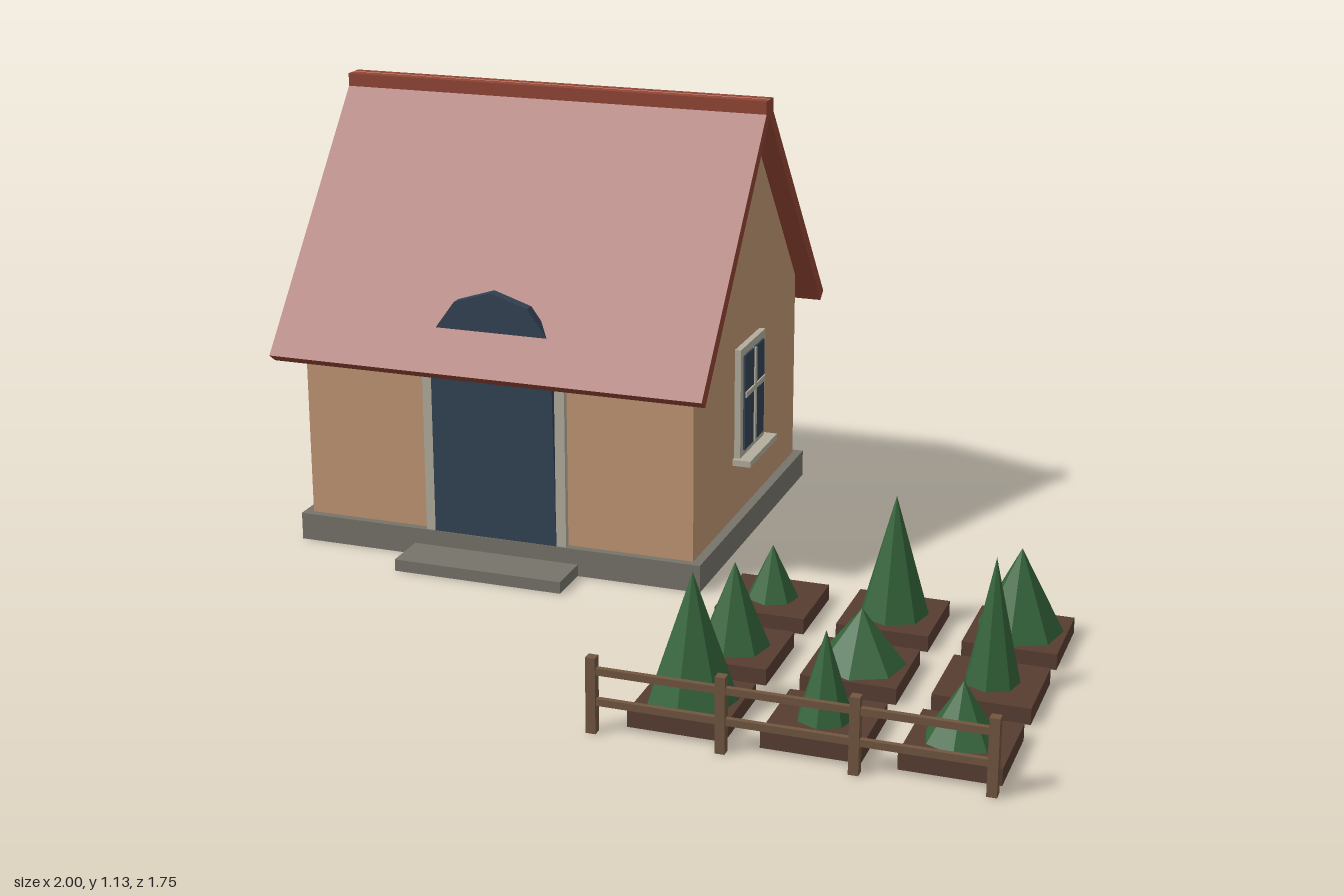
import * as THREE from 'three';

const mat = (name, color) => {
  const m = new THREE.MeshStandardMaterial({ color, flatShading: true });
  m.name = name;
  return m;
};

export function createModel() {
  const M = {
    wall: mat('plaster', 0xbf9674),
    roof: mat('roofTile', 0x914433),
    stone: mat('stone', 0x76736a),
    dark: mat('darkBlue', 0x324254),
    trim: mat('paleTrim', 0xb3ad9d),
    soil: mat('soil', 0x573d31),
    leaf: mat('foliage', 0x34643a),
    wood: mat('wood', 0x705640),
  };
  const model = new THREE.Group();
  model.name = 'cottageWithGarden';

  const add = (parent, name, geometry, material, x = 0, y = 0, z = 0) => {
    const mesh = new THREE.Mesh(geometry, material);
    mesh.name = name;
    mesh.position.set(x, y, z);
    parent.add(mesh);
    return mesh;
  };
  // Box given by its lower and upper limits on each axis
  const box = (parent, name, material, x0, x1, y0, y1, z0, z1) =>
    add(parent, name, new THREE.BoxGeometry(x1 - x0, y1 - y0, z1 - z0), material,
      (x0 + x1) / 2, (y0 + y1) / 2, (z0 + z1) / 2);
  // Profile in (depth, height), extruded along x and centred
  const alongX = (points, length) => {
    const shape = new THREE.Shape(points.map(([a, b]) => new THREE.Vector2(a, b)));
    return new THREE.ExtrudeGeometry(shape, { depth: length, bevelEnabled: false })
      .translate(0, 0, -length / 2).rotateY(Math.PI / 2);
  };

  // House, centred on its own axes
  const CX = -0.436, CZ = -0.358;
  const house = new THREE.Group();
  house.name = 'house';
  house.position.set(CX, 0, CZ);
  model.add(house);

  box(house, 'foundation', M.stone, -0.537, 0.537, 0, 0.07, -0.44, 0.44);
  box(house, 'doorStep', M.stone, -0.22, 0.22, 0, 0.03, 0.43, 0.558);
  add(house, 'walls', alongX([[-0.42, 0.07], [0.42, 0.07], [0.42, 0.58], [0, 1.095], [-0.42, 0.58]], 1.026), M.wall);
  add(house, 'roof', alongX([
    [0.515, 0.51], [0, 1.132], [-0.515, 0.51], [-0.488, 0.49], [0, 1.088], [0.488, 0.49],
  ], 1.13), M.roof);
  box(house, 'ridgeCap', M.roof, -0.565, 0.565, 1.09, 1.131, -0.028, 0.028);

  // Door with an arched head that rises through the roof
  const door = new THREE.Group();
  door.name = 'door';
  house.add(door);
  const doorShape = new THREE.Shape();
  doorShape.moveTo(-0.163, 0.07);
  doorShape.lineTo(0.163, 0.07);
  for (let i = 0; i <= 10; i++) {
    const a = Math.PI * (i * 36 - 90 + 90 - 18 + 18) / 180;
    if (a > Math.PI) break;
    const t = Math.PI / 10 + a;
    if (t < Math.PI) doorShape.lineTo(0.163 * Math.cos(t), 0.54 + 0.163 * Math.sin(t));
  }
  doorShape.lineTo(-0.163, 0.54);
  add(door, 'doorPanel', new THREE.ExtrudeGeometry(doorShape, { depth: 0.028, bevelEnabled: false }), M.dark, 0, 0, 0.41);
  for (const s of [-1, 1]) add(door, 'doorJamb', new THREE.BoxGeometry(0.026, 0.47, 0.04), M.trim, s * 0.175, 0.305, 0.416);

  // Windows face +z in their own frame and are turned to each wall
  const addWindow = (name, x, z, turn) => {
    const w = new THREE.Group();
    w.name = name;
    w.position.set(x, 0.37, z);
    w.rotation.y = turn;
    house.add(w);
    box(w, 'windowFrame', M.trim, -0.102, 0.102, -0.145, 0.145, -0.005, 0.016);
    box(w, 'windowGlass', M.dark, -0.08, 0.08, -0.125, 0.125, 0.01, 0.021);
    box(w, 'uprightBar', M.trim, -0.007, 0.007, -0.125, 0.125, 0.015, 0.025);
    box(w, 'crossBar', M.trim, -0.08, 0.08, 0.015, 0.029, 0.015, 0.025);
    box(w, 'windowSill', M.trim, -0.115, 0.115, -0.157, -0.141, -0.005, 0.047);
  };
  addWindow('leftWindow', 0.513, 0, Math.PI / 2);
  addWindow('rightWindow', -0.513, 0, -Math.PI / 2);
  addWindow('backWindow', 0, -0.42, Math.PI);

  // Garden: three rows of beds, each with one cone tree
  const garden = new THREE.Group();
  garden.name = 'garden';
  model.add(garden);
  const radii = [0.062, 0.082, 0.102], heights = [0.13, 0.29, 0.2];
  for (let row = 0; row < 3; row++) {
    for (let col = 0; col < 3; col++) {
      const x = 0.298 + col * 0.2955, z = 0.126 + row * 0.2935;
      add(garden, 'gardenBed', new THREE.BoxGeometry(0.218, 0.038, 0.218), M.soil, x, 0.019, z);
      const h = heights[(col - row + 3) % 3];
      add(garden, 'tree', new THREE.ConeGeometry(radii[(row + col) % 3], h, 7), M.leaf, x, 0.038 + h / 2, z);
    }
  }

  // Fence along the front of the garden
  const fence = new THREE.Group();
  fence.name = 'fence';
  model.add(fence);
  for (let i = 0; i < 4; i++) {
    add(fence, 'fencePost', new THREE.BoxGeometry(0.022, 0.174, 0.022), M.wood, 0.127 + i * 0.287, 0.087, 0.867);
  }
  for (const y of [0.072, 0.142]) {
    add(fence, 'fenceRail', new THREE.BoxGeometry(0.861, 0.016, 0.012), M.wood, 0.5575, y, 0.867);
  }
  return model;
}
